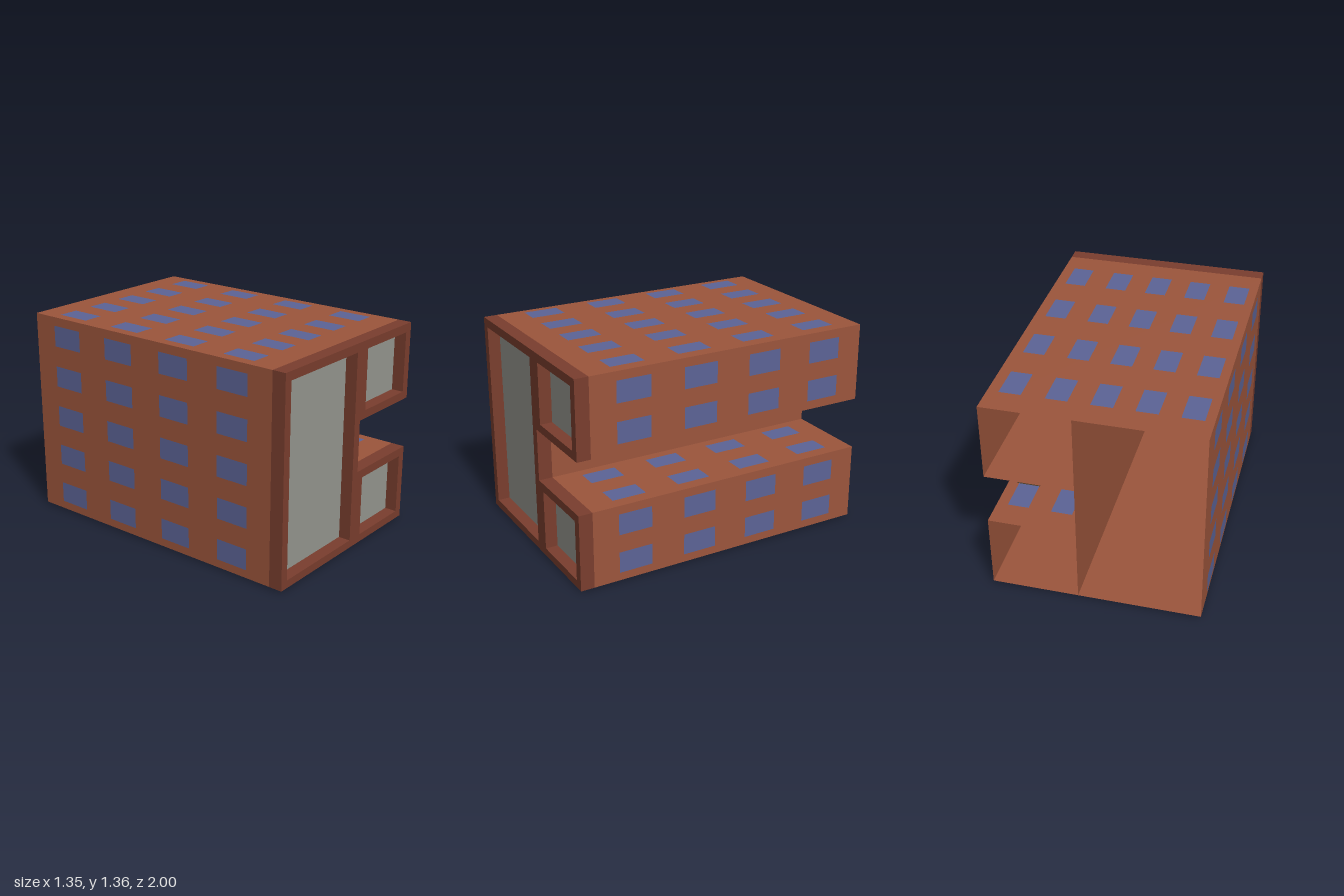
import * as THREE from 'three';

const X0 = -0.674, XN = 0.11, X1 = 0.669; // right side, notch wall, left side
const Y0 = 0.011, YA = 0.512, YB = 0.852, Y1 = 1.356; // base, notch bottom, notch top, roof
const BACK = -1, JOIN = 0.91, FRONT = 1;

const paint = (color) => new THREE.MeshStandardMaterial({ color, side: THREE.DoubleSide, flatShading: true });

export function createModel() {
  const model = new THREE.Group();
  const brick = paint(0x9c553c), trim = paint(0x7a3e2e), glass = paint(0x5c6496);
  const pane = paint(0x95968f), dark = paint(0x4a3a28);

  // Thin rectangle facing a given way: 'x' / 'y' / 'z' axis and sign
  function panel(name, w, h, axis, sign, pos, material, parent = model) {
    const mesh = new THREE.Mesh(new THREE.PlaneGeometry(w, h), material);
    if (axis === 'x') mesh.rotation.y = sign * Math.PI / 2;
    if (axis === 'y') mesh.rotation.x = -sign * Math.PI / 2;
    mesh.position.set(...pos);
    mesh.name = name;
    parent.add(mesh);
  }

  // Outline of the block, shared by the walls and the front frame
  const outline = [[X0, Y0], [X1, Y0], [X1, YA], [XN, YA], [XN, YB], [X1, YB], [X1, Y1], [X0, Y1]];

  // Thin walls, open at the back
  const walls = new THREE.Group();
  walls.name = 'walls';
  model.add(walls);
  const depth = JOIN - BACK, midZ = (JOIN + BACK) / 2;
  outline.forEach(([ax, ay], i) => {
    const [bx, by] = outline[(i + 1) % outline.length];
    const pos = [(ax + bx) / 2, (ay + by) / 2, midZ];
    if (ay === by) panel('wall', Math.abs(bx - ax), depth, 'y', bx > ax ? -1 : 1, pos, brick, walls);
    else panel('wall', depth, Math.abs(by - ay), 'x', by > ay ? 1 : -1, pos, brick, walls);
  });
  // Inner partitions between the tall room and the two wings
  for (const [a, b] of [[Y0, YA], [YB, Y1]]) {
    panel('partition', depth, b - a, 'x', 1, [XN, (a + b) / 2, midZ], brick, walls);
  }

  // Front frame with three openings and recessed panes
  const shape = new THREE.Shape(outline.map((p) => new THREE.Vector2(...p)));
  const openings = [[-0.62, 0.062, 0.053, 1.3], [0.167, 0.905, 0.614, 1.3], [0.167, 0.062, 0.614, 0.457]];
  for (const [l, b, r, t] of openings) {
    shape.holes.push(new THREE.Path([[l, b], [l, t], [r, t], [r, b]].map((p) => new THREE.Vector2(...p))));
    panel('frontPane', r - l, t - b, 'z', 1, [(l + r) / 2, (b + t) / 2, JOIN + 0.01], pane);
  }
  const frame = new THREE.Mesh(
    new THREE.ExtrudeGeometry(shape, { depth: FRONT - JOIN, bevelEnabled: false }), trim);
  frame.position.z = JOIN;
  frame.name = 'frontFrame';
  model.add(frame);

  // Rows of windows, just proud of the walls
  const windows = new THREE.Group();
  windows.name = 'windows';
  model.add(windows);
  const cols = [-0.55, -0.285, -0.02, 0.25, 0.53];
  for (const z of [-0.72, -0.273, 0.178, 0.628]) {
    const flat = (x, y, sign) => panel('window', 0.135, 0.225, 'y', sign, [x, y, z], glass, windows);
    const upright = (x, y, sign) => panel('window', 0.225, 0.138, 'x', sign, [x, y, z], glass, windows);
    for (const x of cols) {
      flat(x, Y1 + 0.004, 1);
      flat(x, Y0 - 0.011, -1);
    }
    for (const x of cols.slice(3)) {
      flat(x, YA + 0.005, 1);
      flat(x, YB - 0.005, -1);
    }
    for (const y of [0.135, 0.39, 0.98, 1.232]) upright(X1 + 0.005, y, 1);
    for (let i = 0; i < 5; i++) upright(X0 - 0.004, 0.135 + i * 0.274, -1);
  }

  // Small dark panel under the upper wing
  panel('undersidePanel', 0.14, 0.26, 'y', -1, [0.39, YB - 0.011, -0.865], dark);

  return model;
}
